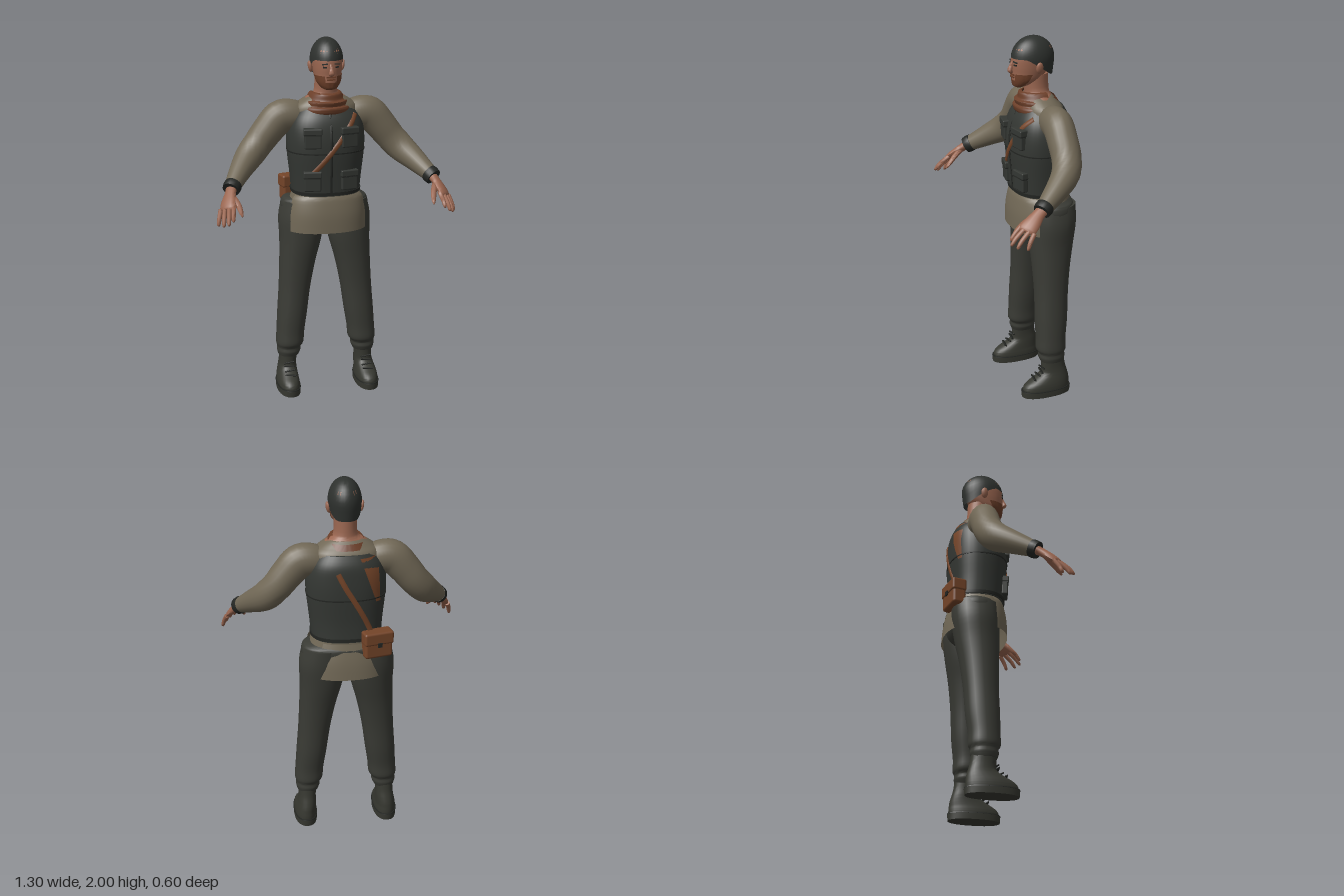
import * as THREE from 'three';
import { toCreasedNormals } from 'three/addons/utils/BufferGeometryUtils.js';
import { RoundedBoxGeometry } from 'three/addons/geometries/RoundedBoxGeometry.js';

const V = (x, y, z) => new THREE.Vector3(x, y, z);
const mat = (name, color, side = THREE.FrontSide) => Object.assign(new THREE.MeshStandardMaterial({ color, side }), { name });

// Catmull-Rom subdivision of cross-section rows
function smooth(rows, k = 4) {
  const out = [], at = i => rows[Math.max(0, Math.min(rows.length - 1, i))];
  for (let i = 0; i < rows.length - 1; i++)
    for (let s = 0; s < k; s++) {
      const t = s / k;
      out.push(rows[i].map((b, j) => {
        const a = at(i - 1)[j], c = at(i + 1)[j], d = at(i + 2)[j];
        return b + 0.5 * t * (c - a + t * (2 * a - 5 * b + 4 * c - d + t * (3 * (b - c) + d - a)));
      }));
    }
  return [...out, rows[rows.length - 1]];
}

// surface through rings of points, optionally capped at both ends
function skin(rings, capped = true, crease = 0.8) {
  const n = rings[0].length, pos = [], idx = [];
  rings.forEach(r => r.forEach(p => pos.push(p.x, p.y, p.z)));
  for (let i = 0; i < rings.length - 1; i++)
    for (let j = 0; j < n - 1; j++) {
      const a = i * n + j;
      idx.push(a, a + 1, a + n + 1, a, a + n + 1, a + n);
    }
  if (capped) [0, rings.length - 1].forEach((i, top) => {
    const c = rings[i].slice(0, n - 1).reduce((s, p) => s.add(p), V(0, 0, 0)).divideScalar(n - 1);
    const k = pos.push(c.x, c.y, c.z) / 3 - 1;
    for (let j = 0; j < n - 1; j++) top ? idx.push(k, i * n + j, i * n + j + 1) : idx.push(k, j + 1, j);
  });
  const g = new THREE.BufferGeometry();
  g.setAttribute('position', new THREE.Float32BufferAttribute(pos, 3));
  g.setIndex(idx);
  return toCreasedNormals(g, crease);
}

// stacked level ovals, rows of [y, rx, rz, cx, cz]; angle 0 is the front
const pw = (v, p) => Math.sign(v) * Math.abs(v) ** (2 / p);
function loft(rows, { p = 2, from = -Math.PI, to = Math.PI, n = 28, capped = true, k = 4, crease } = {}) {
  return skin(smooth(rows, k).map(([y, rx, rz, cx, cz]) => Array.from({ length: n + 1 }, (_, j) => {
    const a = from + (to - from) * j / n;
    return V(cx + rx * pw(Math.sin(a), p), y, cz + rz * pw(Math.cos(a), p));
  })), capped, crease);
}

// ovals across a path, rows of [x, y, z, a, b]; a lies along the hint
function limb(rows, hint = V(0, 1, 0), n = 14, k = 4) {
  const r = smooth(rows, k), c = r.map(q => V(q[0], q[1], q[2]));
  return skin(r.map((q, i) => {
    const t = c[Math.min(i + 1, c.length - 1)].clone().sub(c[Math.max(i - 1, 0)]).normalize();
    const w = hint.clone().addScaledVector(t, -hint.dot(t)).normalize(), v = t.clone().cross(w);
    return Array.from({ length: n + 1 }, (_, j) => {
      const a = j / n * Math.PI * 2;
      return c[i].clone().addScaledVector(w, Math.cos(a) * q[3]).addScaledVector(v, Math.sin(a) * q[4]);
    });
  }));
}

const VEST = [[1.15, .187, .15, 0, -.105], [1.25, .196, .152, 0, -.1], [1.4, .212, .162, 0, -.098],
  [1.5, .21, .158, 0, -.1], [1.57, .19, .145, 0, -.105], [1.625, .15, .115, 0, -.108]];
function vestRow(y, grow = 0) {
  const i = Math.max(0, VEST.findIndex((r, j) => j === VEST.length - 2 || VEST[j + 1][0] >= y));
  const a = VEST[i], b = VEST[i + 1], t = (y - a[0]) / (b[0] - a[0]);
  return a.map((v, j) => v + (b[j] - v) * t + (j === 1 || j === 2 ? grow : 0));
}
function onVest(x, y, front, out) {
  const [, rx, rz, , cz] = vestRow(y);
  return [x, y, cz + front * (rz * (1 - Math.min(1, Math.abs(x / rx)) ** 2.4) ** (1 / 2.4) + out)];
}

export function createModel() {
  const root = new THREE.Group();
  const vest = mat('vest cloth', 0x343733), trouser = mat('trouser cloth', 0x3a3b35), boot = mat('boot leather', 0x373831);
  const shirt = mat('shirt cloth', 0x716856, THREE.DoubleSide), flesh = mat('skin', 0x9a6650);
  const scarf = mat('scarf cloth', 0x6c3f29, THREE.DoubleSide), leather = mat('strap leather', 0x754529, THREE.DoubleSide);
  const hair = mat('hair', 0x2e312e, THREE.DoubleSide), dark = mat('dark trim', 0x242623);
  const add = (name, geo, m, parent = root) => {
    const o = new THREE.Mesh(geo, m);
    o.name = name;
    parent.add(o);
    return o;
  };
  const box = (name, m, size, at, rot = [0, 0, 0], r = 0) => {
    const o = add(name, r ? new RoundedBoxGeometry(...size, 2, r) : new THREE.BoxGeometry(...size), m);
    o.position.set(...at);
    o.rotation.set(...rot);
    return o;
  };

  // torso, waist and hem
  add('vest', loft(VEST, { p: 2.4, n: 40 }), vest);
  add('shirtShoulders', loft([[1.54, .18, .12, 0, -.11], [1.62, .175, .108, 0, -.108], [1.655, .14, .09, 0, -.1],
    [1.685, .09, .07, 0, -.095]], { p: 2.3 }), shirt);
  add('shirtWaist', loft([[1.08, .205, .145, 0, -.108], [1.16, .18, .142, 0, -.106]], { p: 2.4, k: 1 }), shirt);
  [[1.155, 1.172, .005], [1.386, 1.393, .003]].forEach(([a, b, g]) =>
    add('vestSeam', loft([vestRow(a, g), vestRow(b, g)], { p: 2.4, n: 40, k: 1 }), dark));
  add('zip', limb([1.16, 1.25, 1.4, 1.5, 1.6].map(y => [...onVest(0, y, 1, .001), .007, .004]), V(1, 0, 0), 8), dark);
  add('frontHem', loft([[.945, .228, .163, 0, -.1], [1.04, .224, .16, 0, -.1], [1.12, .21, .15, 0, -.104], [1.145, .19, .142, 0, -.106]],
    { p: 2.3, from: -1.2, to: 1.2, capped: false }), shirt);
  add('backHem', loft([[.945, .235, .185, 0, -.1], [1.04, .23, .176, 0, -.1], [1.14, .19, .148, 0, -.106]],
    { p: 2.3, from: Math.PI - .75, to: Math.PI + .75, capped: false }), shirt);
  add('trouserSeat', loft([[.93, .1, .09, 0, -.125], [.98, .2, .118, 0, -.128], [1.05, .243, .13, 0, -.132],
    [1.1, .24, .132, 0, -.132], [1.115, .225, .125, 0, -.13]], { p: 2.4 }), trouser);

  // scarf and the cloth showing at the back
  add('scarf', loft([[1.585, .15, .13, 0, -.115], [1.605, .155, .145, 0, -.115], [1.63, .14, .145, 0, -.11], [1.637, .128, .127, 0, -.105],
    [1.66, .12, .13, 0, -.1], [1.668, .105, .112, 0, -.1], [1.7, .085, .108, 0, -.1], [1.705, .068, .09, 0, -.1]],
    { from: -1.75, to: 1.75, capped: false }), scarf);
  add('scarfNape', loft([[1.645, .13, .1, 0, -.105], [1.675, .105, .085, 0, -.1]],
    { from: 2.3, to: 4.0, capped: false, k: 2 }), scarf);
  add('backPatch', skin([1.37, 1.43, 1.49, 1.55, 1.61].map((y, i) => Array.from({ length: 7 }, (_, j) => {
    const x = -.155 + .012 * i + (.012 + .009 * i) * (1 - j / 3);
    return V(...onVest(x, y, -1, .004));
  })).reverse(), false), leather);

  // neck and head
  add('neck', loft([[1.66, .13, .07, 0, -.1], [1.685, .095, .07, 0, -.095], [1.71, .064, .066, 0, -.09], [1.8, .06, .066, 0, -.085]]), flesh);
  const HEAD = [[1.735, .025, .022, 0, .008], [1.745, .042, .044, 0, -.003], [1.775, .064, .075, 0, -.028],
    [1.81, .073, .095, 0, -.047], [1.85, .079, .108, 0, -.057], [1.9, .081, .113, 0, -.066], [1.95, .068, .095, 0, -.068], [1.98, .03, .04, 0, -.068]];
  add('head', loft(HEAD, { p: 2.15 }), flesh);
  const beardRows = HEAD.slice(0, 4).map(([y, rx, rz, cx, cz]) => [y - .001, rx + .003, rz + .003, cx, cz]);
  [-1, 1].forEach(s => add('beardSide', loft(beardRows, { p: 2.15, capped: false, from: s > 0 ? .42 : -1.5, to: s > 0 ? 1.5 : -.42, n: 10 }), scarf));
  add('beardChin', loft(beardRows.slice(0, 3), { p: 2.15, capped: false, from: -.45, to: .45, n: 8 }), scarf);
  box('mouth', scarf, [.044, .008, .008], [0, 1.79, .0465]);
  box('moustache', scarf, [.05, .008, .008], [0, 1.803, .047]);
  add('nose', limb([[0, 1.872, .047, .008, .006], [0, 1.845, .054, .01, .012], [0, 1.825, .06, .016, .014], [0, 1.813, .05, .012, .007]], V(1, 0, 0), 10), flesh);
  add('hair', skin(Array.from({ length: 13 }, (_, i) => Array.from({ length: 33 }, (_, j) => {
    const a = j / 32 * Math.PI * 2 - Math.PI, back = (1 - Math.cos(a)) / 2;
    const low = 1.89 - .095 * Math.min(1, Math.max(0, back - .25) * 1.6);
    const t = Math.sin(i / 12 * Math.PI / 2), y = low + (2 - low) * t;
    const f = y > 1.88 ? Math.sqrt(Math.max(0, 1 - ((y - 1.88) / .12) ** 2)) : 1 - (1.88 - y) * 1.1;
    return V(Math.sin(a) * .088 * f, y, -.068 + Math.cos(a) * .119 * f);
  })), false), hair);

  // diagonal strap and satchel
  const strap = (front, pts) => add(front > 0 ? 'frontStrap' : 'backStrap',
    limb(pts.map(([x, y]) => [...onVest(x, y, front, .004), .014, .005]), V(.8, -.6, 0), 10), leather);
  strap(1, [[.145, 1.59], [.11, 1.54], [.05, 1.46], [-.03, 1.36], [-.11, 1.27]]);
  strap(-1, [[.06, 1.54], [.02, 1.46], [-.05, 1.34], [-.1, 1.24], [-.12, 1.18]]);
  const turn = [0, .22, 0];
  box('satchel', leather, [.155, .135, .075], [-.145, 1.135, -.25], turn, .015);
  box('satchelFlap', leather, [.163, .07, .082], [-.146, 1.178, -.252], turn, .012);
  box('satchelClasp', dark, [.024, .024, .008], [-.156, 1.145, -.294], turn);

  for (const s of [1, -1]) {
    const side = s > 0 ? 'left' : 'right';
    const sided = rows => rows.map(([x, ...r]) => [x * s, ...r]);
    const part = (name, rows, m, hint = V(0, 1, 0), n = 14, k = 4) => add(side + name, limb(sided(rows), V(hint.x * s, hint.y, hint.z), n, k), m);
    const stack = (name, rows, m, opt) => add(side + name, loft(rows.map(([y, rx, rz, cx, cz]) => [y, rx, rz, cx * s, cz]), opt), m);

    // vest pockets
    for (const [y, h] of [[1.475, .105], [1.237, .105]]) {
      const [x, , z] = onVest(.1 * s, y, 1, 0);
      box(side + 'Pocket', vest, [.092, h, .036], [x, y, z], [0, s * .17, 0], .008);
      box(side + 'PocketFlap', vest, [.1, .035, .046], [x, y + h / 2 - .012, z], [0, s * .17, 0], .006);
      box(side + 'PocketSeam', dark, [.094, .004, .042], [x, y + h / 2 - .031, z], [0, s * .17, 0]);
    }

    // face details
    box(side + 'Eye', dark, [.022, .007, .008], [.032 * s, 1.857, .0435], [0, s * .25, 0]);
    box(side + 'Brow', hair, [.032, .006, .008], [.033 * s, 1.873, .0435], [0, s * .25, s * -.1]);
    const ear = add(side + 'Ear', new THREE.SphereGeometry(1, 12, 10), flesh);
    ear.scale.set(.012, .031, .02);
    ear.position.set(.088 * s, 1.845, -.072);
    ear.rotation.z = -.2 * s;

    // sleeve, cuff and hand
    part('Sleeve', [[.13, 1.565, -.11, .075, .07], [.19, 1.577, -.11, .088, .078], [.25, 1.567, -.11, .092, .08], [.31, 1.505, -.11, .086, .08],
      [.37, 1.43, -.105, .081, .078], [.425, 1.37, -.075, .078, .074], [.485, 1.315, 0, .062, .06], [.545, 1.255, .095, .043, .043]], shirt, V(0, 1, 0), 20);
    part('Cuff', [[.537, 1.263, .083, .047, .047], [.545, 1.255, .095, .049, .049], [.556, 1.243, .112, .046, .046]], dark, V(0, 1, 0), 18, 2);
    const across = V(.74, -.39, -.55);
    part('Palm', [[.55, 1.25, .1, .032, .026], [.563, 1.228, .135, .034, .022], [.58, 1.195, .175, .045, .021], [.59, 1.172, .205, .046, .016], [.594, 1.163, .214, .036, .009]], flesh, across);
    [[.558, 1.187, .218, .572, 1.118, .285], [.581, 1.174, .215, .597, 1.1, .292], [.602, 1.163, .2, .62, 1.088, .268], [.62, 1.158, .178, .641, 1.08, .22]]
      .forEach(([x, y, z, X, Y, Z]) => part('Finger', [[x, y, z, .013, .013], [x + (X - x) * .6, y + (Y - y) * .5, z + (Z - z) * .62, .012, .012],
        [X - (X - x) * .08, Y - (Y - y) * .1, Z - (Z - z) * .06, .009, .009], [X, Y, Z, .003, .003]], flesh, across, 8, 3));
    part('Thumb', [[.558, 1.222, .145, .018, .018], [.533, 1.187, .195, .016, .015], [.522, 1.15, .232, .012, .011], [.518, 1.132, .25, .004, .004]], flesh, V(1, 0, 0), 8, 3);

    // trouser leg, gathered at the ankle
    stack('TrouserLeg', [[.2, .058, .066, .217, -.098], [.225, .066, .074, .215, -.097], [.25, .066, .072, .214, -.097], [.275, .077, .084, .209, -.095],
      [.34, .078, .083, .204, -.096], [.45, .083, .09, .192, -.102], [.6, .088, .093, .176, -.108], [.75, .1, .104, .157, -.114],
      [.88, .116, .119, .138, -.122], [1, .127, .128, .13, -.13], [1.1, .112, .128, .125, -.132]], trouser, { p: 2.2, n: 24 });

    // boot with sole and laces
    stack('Boot', [[.02, .06, .135, .227, -.06], [.05, .061, .136, .227, -.061], [.075, .058, .125, .227, -.07], [.1, .054, .102, .225, -.09],
      [.13, .05, .076, .222, -.108], [.17, .048, .068, .22, -.105], [.22, .05, .066, .218, -.1]], boot, { p: 2.3 });
    stack('Sole', [[0, .063, .141, .227, -.059], [.034, .065, .144, .227, -.059]], boot, { p: 2.3, k: 1 });
    stack('SoleWelt', [[.034, .0655, .1445, .227, -.059], [.039, .0645, .143, .227, -.059]], dark, { p: 2.3, k: 1 });
    [[.1, .012], [.118, -.012], [.138, -.03], [.158, -.036]].forEach(([y, z], i) =>
      box(side + 'Lace', dark, [.06, .008, .016], [.224 * s, y + .004, z], [-.5, 0, i % 2 ? .12 : -.12], .003));
  }
  return root;
}
